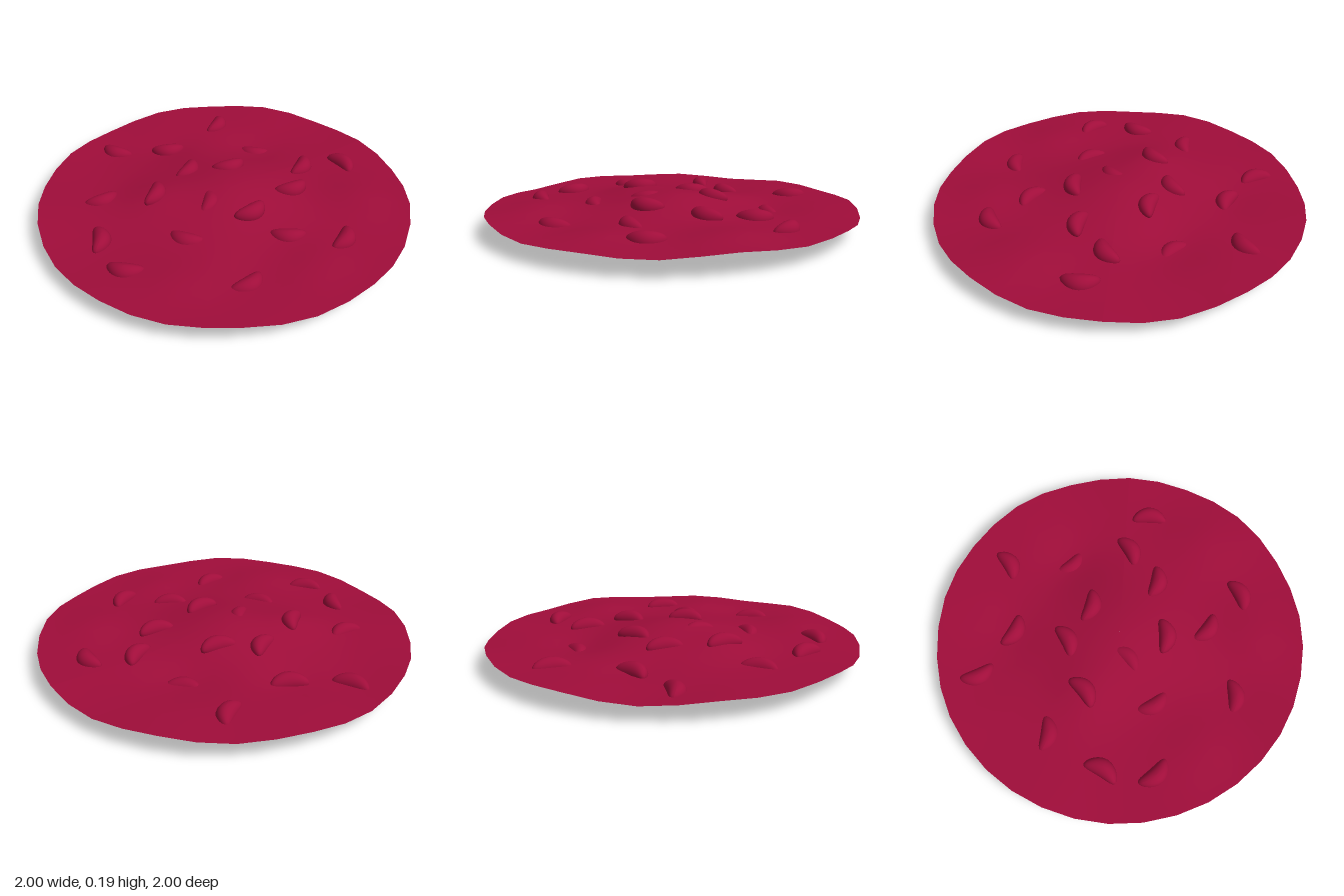
import * as THREE from 'three';

const material = new THREE.MeshStandardMaterial({ color: 0xa00d3a, roughness: 0.8, side: THREE.DoubleSide });

// Local swells and dips of the slice: x, z, height, radius
const swells = [
  [-0.34, -0.17, 0.03, 0.18], [0.43, -0.3, -0.03, 0.18], [-0.3, 0.63, -0.015, 0.2],
  [0.6, 0.42, 0.028, 0.18], [-0.58, 0.45, 0.028, 0.18], [-0.26, -0.75, -0.015, 0.2],
  [0.05, 0.72, 0.02, 0.15], [0, -0.6, -0.018, 0.15],
];

// Height of the wavy slice: low dome, swells and a rippled rim
function sliceHeight(x, z) {
  const r = Math.hypot(x, z), t = Math.atan2(z, x);
  let y = 0.1 + 0.075 * Math.exp(-((r / 0.35) ** 2));
  for (const [sx, sz, h, w] of swells) y += h * Math.exp(-((x - sx) ** 2 + (z - sz) ** 2) / (w * w));
  const ripple = 0.6 * Math.sin(9 * t + 1.2) + 0.5 * Math.sin(4 * t - 1);
  return y + 0.012 * ripple * r ** 3;
}

function makeSlice() {
  const geo = new THREE.RingGeometry(0.001, 1, 36, 24);
  geo.rotateX(-Math.PI / 2);
  const p = geo.attributes.position;
  for (let i = 0; i < p.count; i++) p.setY(i, sliceHeight(p.getX(i), p.getZ(i)));
  geo.computeVertexNormals();
  const mesh = new THREE.Mesh(geo, material);
  mesh.name = 'wavySlice';
  return mesh;
}

// Kidney shape: an ellipsoid bent sideways
function makeBeanGeometry() {
  const geo = new THREE.SphereGeometry(1, 24, 16);
  geo.scale(0.098, 0.05, 0.048);
  const p = geo.attributes.position;
  for (let i = 0; i < p.count; i++) {
    const x = p.getX(i);
    p.setZ(i, p.getZ(i) - 3.2 * x * x + 0.01);
  }
  geo.computeVertexNormals();
  return geo;
}

// Beans: x, z, centre height, heading in degrees
const beans = [
  [-0.26, -0.75, 0.075, 62], [0, -0.58, 0.084, 25], [0.4, -0.65, 0.09, -35],
  [-0.56, -0.345, 0.09, 3], [-0.05, -0.28, 0.13, -30], [0.43, -0.3, 0.053, 45],
  [-0.33, -0.17, 0.147, -42], [0.15, -0.165, 0.14, 12], [-0.73, -0.05, 0.095, -62],
  [0.52, 0.03, 0.105, -32], [-0.13, 0.045, 0.133, -50], [0.745, 0.13, 0.098, -90],
  [-0.74, 0.225, 0.093, 45], [-0.375, 0.2, 0.096, 55], [0, 0.25, 0.146, -5],
  [0.32, 0.19, 0.124, 10], [0.065, 0.475, 0.098, 35], [-0.3, 0.63, 0.077, -5],
  [0.285, 0.655, 0.097, -28],
];

export function createModel() {
  const model = new THREE.Group();
  model.name = 'beanStuddedSlice';
  model.add(makeSlice());
  const beanGeo = makeBeanGeometry();
  beans.forEach(([x, z, y, heading], i) => {
    const bean = new THREE.Mesh(beanGeo, material);
    bean.name = `bean${i + 1}`;
    bean.position.set(x, y, z);
    bean.rotation.y = -THREE.MathUtils.degToRad(heading);
    model.add(bean);
  });
  return model;
}
